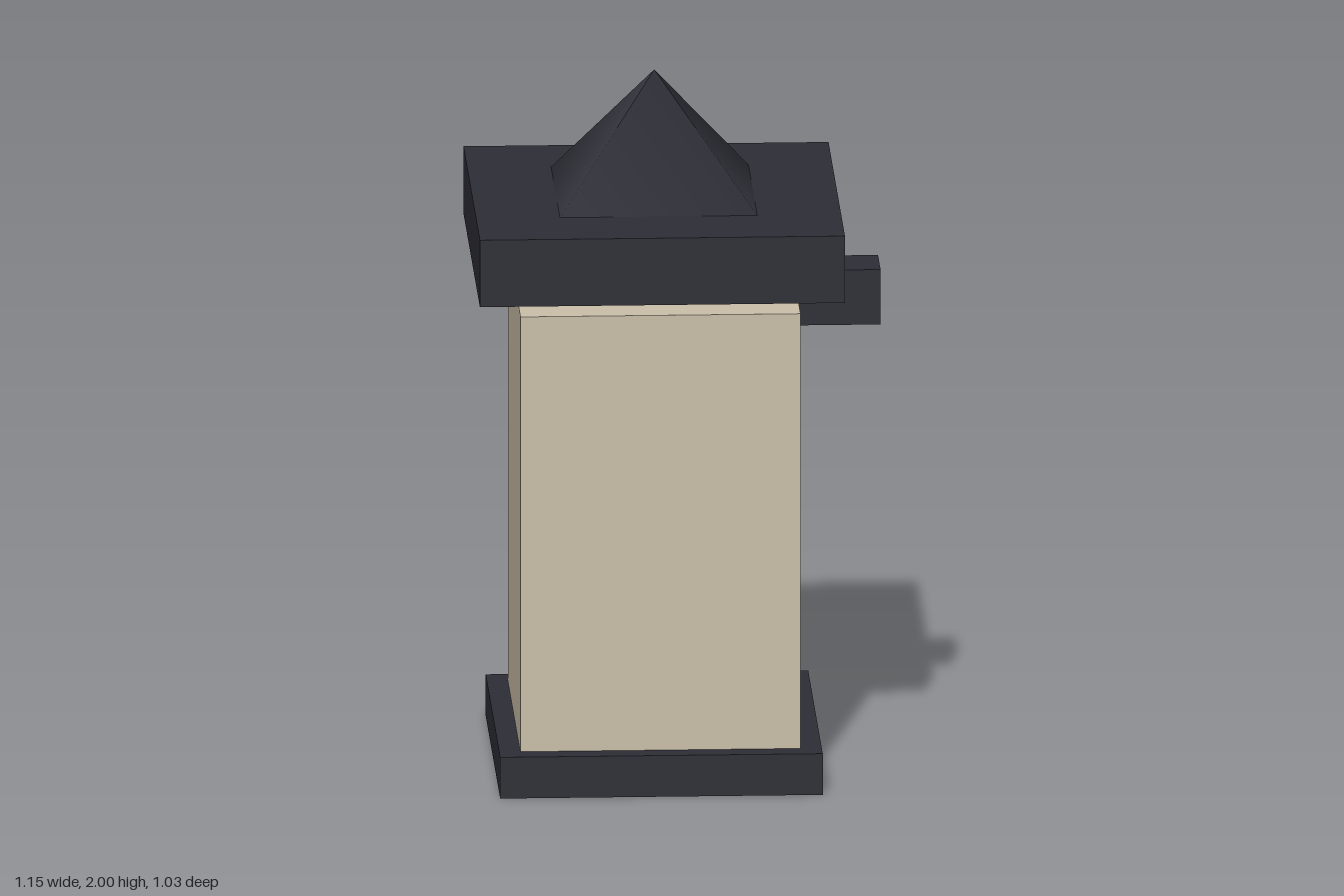
import * as THREE from 'three';

export function createModel() {
  const model = new THREE.Group();
  model.name = 'lantern';

  const dark = new THREE.MeshStandardMaterial({ color: 0x2d2d36 });
  dark.name = 'dark metal';
  const cream = new THREE.MeshStandardMaterial({ color: 0xcabfaa });
  cream.name = 'cream panel';

  const axis = -0.06; // the lantern sits off centre because the arm sticks out to one side

  function add(name, geometry, material, x, y) {
    const mesh = new THREE.Mesh(geometry, material);
    mesh.name = name;
    mesh.position.set(x, y, 0);
    model.add(mesh);
    return mesh;
  }

  // Square block from y0 to y1
  const block = (name, width, y0, y1, material) =>
    add(name, new THREE.BoxGeometry(width, y1 - y0, width), material, axis, (y0 + y1) / 2);

  block('base', 0.91, 0, 0.12, dark);
  block('body', 0.79, 0.12, 1.388, cream);
  block('roofSlab', 1.03, 1.45, 1.645, dark);

  // Four-sided roof peak, turned so its sides line up with the slab
  const peak = new THREE.ConeGeometry(0.28 * Math.SQRT2, 0.357, 4);
  peak.rotateY(Math.PI / 4);
  add('roofPeak', peak, dark, axis, 1.643 + 0.357 / 2);

  // Mounting arm, running from inside the body out to the left
  add('mountingArm', new THREE.BoxGeometry(0.675, 0.16, 0.16), dark, 0.2375, 1.35);

  return model;
}
